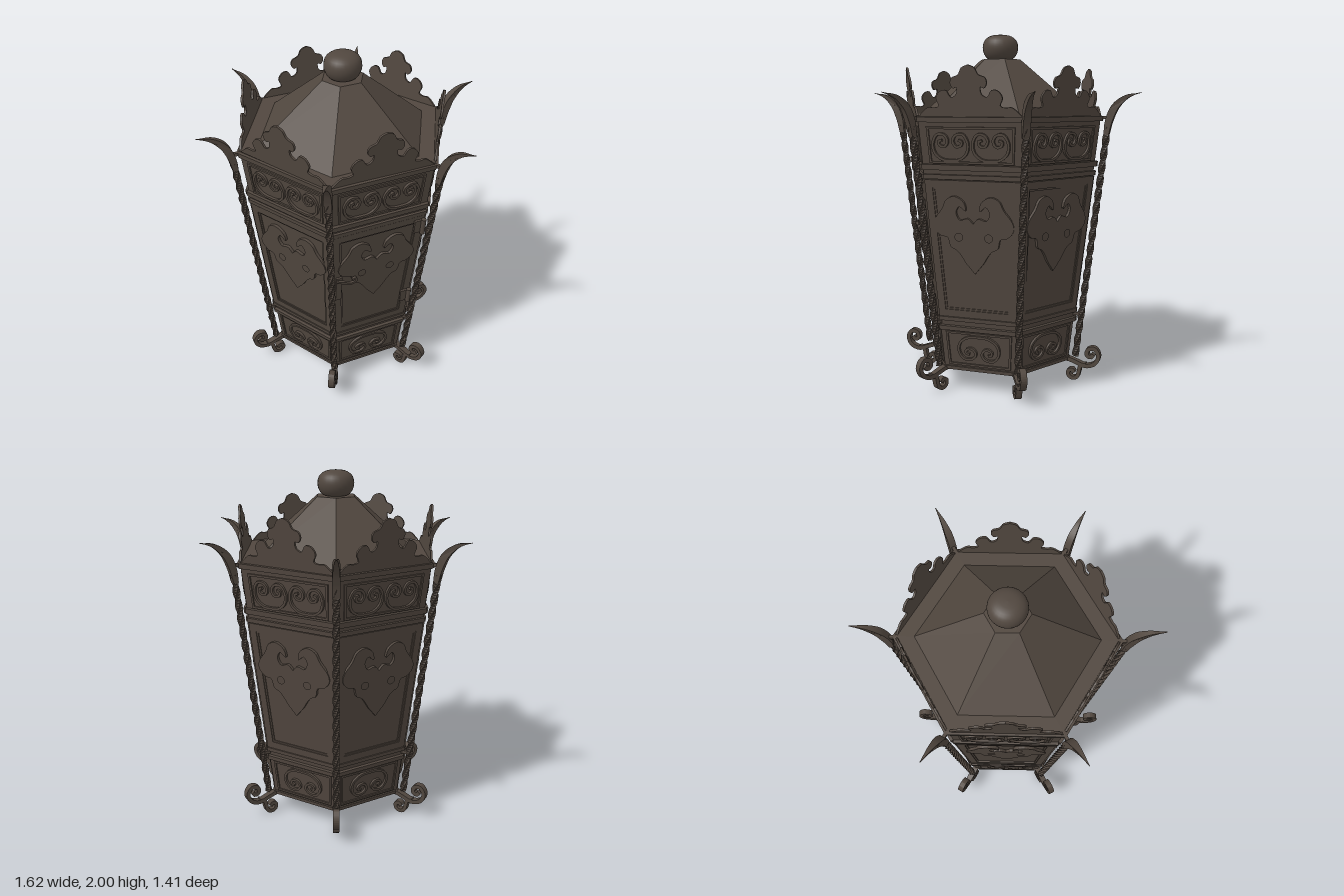
import * as THREE from 'three';

const iron = new THREE.MeshStandardMaterial({ color: 0x51473f });
iron.name = 'dark iron';

const TILT = 0.1027;                               // outward lean of each wall
const halfWidth = (y) => 0.203 + 0.0594 * y;       // half wall width at height y
const V = (p) => new THREE.Vector2(p[0], p[1]);

function add(parent, name, geometry, x = 0, y = 0, z = 0) {
  const m = new THREE.Mesh(geometry, iron);
  m.name = name;
  m.position.set(x, y, z);
  parent.add(m);
  return m;
}

function faceted(g) {
  const f = g.index ? g.toNonIndexed() : g;
  f.computeVertexNormals();
  return f;
}

const hexPrism = (rTop, rBottom, h) =>
  faceted(new THREE.CylinderGeometry(rTop, rBottom, h, 6, 1, false, Math.PI / 6));

const extrude = (shape, depth) =>
  new THREE.ExtrudeGeometry(shape, { depth, bevelEnabled: false, curveSegments: 10 });

// Trapezoid following the wall edges, pulled in by an inset
function wallOutline(y0, y1, inset, Type = THREE.Shape) {
  const a = halfWidth(y0) - inset, b = halfWidth(y1) - inset;
  return new Type([[-a, y0], [a, y0], [b, y1], [-b, y1]].map(V));
}

function frame(y0, y1, inset, width, depth) {
  const s = wallOutline(y0, y1, inset);
  s.holes.push(wallOutline(y0 + width, y1 - width, inset + width, THREE.Path));
  return extrude(s, depth);
}

// Flat bar of given half thickness following a smooth path
function ribbon(points, half, depth, n = 50) {
  const curve = new THREE.CatmullRomCurve3(points.map(p => new THREE.Vector3(p[0], p[1], 0)));
  const left = [], right = [];
  for (let i = 0; i <= n; i++) {
    const t = i / n, p = curve.getPointAt(t), d = curve.getTangentAt(t);
    const h = typeof half === 'function' ? half(t) : half;
    left.push(new THREE.Vector2(p.x - d.y * h, p.y + d.x * h));
    right.unshift(new THREE.Vector2(p.x + d.y * h, p.y - d.x * h));
  }
  return extrude(new THREE.Shape(left.concat(right)), depth);
}

// Right half profile mirrored into a closed symmetric outline
function mirrored(half) {
  const other = half.slice(1, -1).reverse().map(([x, y]) => [-x, y]);
  return new THREE.Shape(half.concat(other).map(V));
}

// Rounds a half profile with a spline
function smooth(half, n) {
  return new THREE.SplineCurve(half.map(V)).getPoints(n).map(p => [p.x, p.y]);
}

// C-shaped scroll with both ends curling inwards
const curl = [[0.5, -0.93], [0.9, -0.5], [0.98, 0.15], [0.72, 0.72], [0.32, 0.68],
  [0.15, 0.3], [0.32, -0.08], [0.6, 0.0], [0.64, 0.27], [0.46, 0.34]];
function scroll(parent, name, x, y, w, h) {
  const right = curl.map(([a, b]) => [x + a * w, y + b * h]);
  const left = curl.map(([a, b]) => [x - a * w, y + b * h]).reverse();
  add(parent, name, ribbon([...left, [x, y - h], ...right], 0.007, 0.014, 90));
}

const crestHalf = [[0, 1.82], [0.035, 1.805], [0.055, 1.77], [0.09, 1.755], [0.1, 1.725],
  [0.085, 1.7], [0.065, 1.705], [0.07, 1.67], [0.1, 1.655], [0.125, 1.69], [0.16, 1.685],
  [0.183, 1.65], [0.17, 1.61], [0.2, 1.6], [0.235, 1.6], [0.292, 1.55]];

const pendantHalf = [[0, 0.98], [0.03, 1.01], [0.075, 1.0], [0.095, 1.04], [0.075, 1.075],
  [0.04, 1.05], [0.05, 1.1], [0.1, 1.13], [0.15, 1.11], [0.175, 1.06], [0.22, 1.0],
  [0.225, 0.95], [0.19, 0.91], [0.15, 0.9], [0.135, 0.85], [0.1, 0.83], [0.075, 0.8],
  [0.05, 0.76], [0.025, 0.73], [0, 0.7]];

function createWall() {
  const g = new THREE.Group();
  // Horizontal mouldings
  for (const [y0, y1, d] of [[1.525, 1.553, 0.016], [1.27, 1.3, 0.018], [1.22, 1.245, 0.014],
    [0.415, 0.438, 0.014], [0.36, 0.385, 0.018], [0.12, 0.14, 0.01]])
    add(g, 'moulding', extrude(wallOutline(y0, y1, 0), d));
  // Framed panels
  add(g, 'friezeFrame', frame(1.305, 1.5, 0.045, 0.012, 0.008));
  add(g, 'panelFrame', frame(0.44, 1.215, 0.004, 0.042, 0.01));
  add(g, 'panelBead', frame(0.482, 1.173, 0.046, 0.01, 0.005));
  add(g, 'baseFrame', frame(0.15, 0.35, 0.03, 0.012, 0.008));
  // Scrollwork
  for (const s of [-1, 1]) scroll(g, 'friezeScroll', s * 0.112, 1.403, 0.1, 0.08);
  scroll(g, 'baseScroll', 0, 0.25, 0.12, -0.078);
  // Pierced pendant ornament
  const pendant = mirrored(smooth(pendantHalf, 70));
  for (const s of [-1, 1]) {
    const hole = new THREE.Path();
    hole.absarc(s * 0.085, 0.905, 0.022, 0, Math.PI * 2, true);
    pendant.holes.push(hole);
  }
  add(g, 'pendant', extrude(pendant, 0.016));
  // Crest rising above the eaves
  add(g, 'crest', extrude(mirrored(smooth(crestHalf, 60)), 0.012), 0, 0, -0.008);
  return g;
}

function createCornerPost() {
  const g = new THREE.Group();
  // Twisted square rod
  const length = 1.36, rod = new THREE.BoxGeometry(0.029, length, 0.029, 1, 90, 1);
  const p = rod.attributes.position, axis = new THREE.Vector3(0, 1, 0), v = new THREE.Vector3();
  for (let i = 0; i < p.count; i++) {
    v.fromBufferAttribute(p, i).applyAxisAngle(axis, p.getY(i) * 20);
    p.setXYZ(i, v.x, v.y, v.z);
  }
  add(g, 'twistedRod', faceted(rod), 0.546, 0.82, 0).rotation.z = -0.1225;
  // Leaf finial tapering to a point
  const leaf = ribbon([[0.622, 1.44], [0.637, 1.52], [0.67, 1.595], [0.73, 1.648], [0.81, 1.672]],
    t => 0.014 + 0.012 * Math.sin(Math.PI * Math.min(1, t * 1.1)) - 0.0125 * t, 0.044);
  leaf.translate(0, 0, -0.022);
  const q = leaf.attributes.position;
  for (let i = 0; i < q.count; i++)
    q.setZ(i, q.getZ(i) * THREE.MathUtils.clamp((0.82 - q.getX(i)) / 0.17, 0.08, 0.9));
  leaf.computeVertexNormals();
  add(g, 'leafFinial', leaf);
  // Pegs tying the rod to the body
  add(g, 'upperPeg', new THREE.BoxGeometry(0.09, 0.018, 0.018), 0.615, 1.535, 0);
  add(g, 'lowerPeg', new THREE.BoxGeometry(0.06, 0.018, 0.018), 0.475, 0.4, 0);
  // Foot strap running in under the floor, with upper and lower scrolls
  add(g, 'footStrap', ribbon([[0, 0.115], [0.2, 0.115], [0.36, 0.115], [0.42, 0.125],
    [0.47, 0.11], [0.53, 0.092], [0.582, 0.112], [0.602, 0.16], [0.577, 0.2], [0.54, 0.19],
    [0.535, 0.158], [0.558, 0.148], [0.572, 0.165]], 0.012, 0.036, 80), 0, 0, -0.018);
  add(g, 'footScroll', ribbon([[0.53, 0.1], [0.498, 0.09], [0.487, 0.05], [0.478, 0.023],
    [0.453, 0.012], [0.428, 0.025], [0.425, 0.052], [0.447, 0.062], [0.46, 0.045]],
    0.011, 0.036), 0, 0, -0.018);
  return g;
}

// Hinges and latch of the door in the front wall
function createDoorFittings() {
  const g = new THREE.Group();
  for (const y of [0.61, 1.15]) {
    const x = halfWidth(y) - 0.012;
    add(g, 'hingePlate', new THREE.BoxGeometry(0.06, 0.085, 0.012), x - 0.02, y, 0.016);
    add(g, 'hingePin', new THREE.CylinderGeometry(0.014, 0.014, 0.1, 10), x, y, 0.026);
  }
  add(g, 'latchPlate', new THREE.BoxGeometry(0.034, 0.17, 0.014), -0.222, 0.83, 0.014);
  add(g, 'latchHandle', ribbon([[-0.235, 0.9], [-0.2, 0.885], [-0.16, 0.865], [-0.13, 0.872],
    [-0.128, 0.895], [-0.15, 0.893]], 0.007, 0.014, 30), 0, 0, 0.022);
  return g;
}

export function createModel() {
  const model = new THREE.Group();
  model.name = 'lantern';

  // Body, roof and ball
  add(model, 'body', hexPrism(0.59, 0.42, 1.43), 0, 0.835, 0);
  add(model, 'roof', hexPrism(0.118, 0.49, 0.31), 0, 1.705, 0);
  const ball = [[0, 1.855], [0.06, 1.86], [0.085, 1.877], [0.1, 1.91], [0.1, 1.945],
    [0.085, 1.975], [0.05, 1.995], [0, 2]];
  add(model, 'ballFinial', new THREE.LatheGeometry(
    new THREE.SplineCurve(ball.map(V)).getPoints(20).map(p => p.set(Math.max(0, p.x), p.y)), 24));

  // Six walls and six corner posts
  for (let k = 0; k < 6; k++) {
    const side = new THREE.Group();
    side.name = 'side' + (k + 1);
    side.rotation.y = k * Math.PI / 3;
    const wall = createWall();
    wall.name = 'wall';
    if (k === 0) {
      const door = createDoorFittings();
      door.name = 'doorFittings';
      wall.add(door);
    }
    wall.position.z = 0.3513;
    wall.rotation.x = TILT;
    const post = createCornerPost();
    post.name = 'cornerPost';
    side.add(wall, post);
    model.add(side);
  }
  return model;
}
